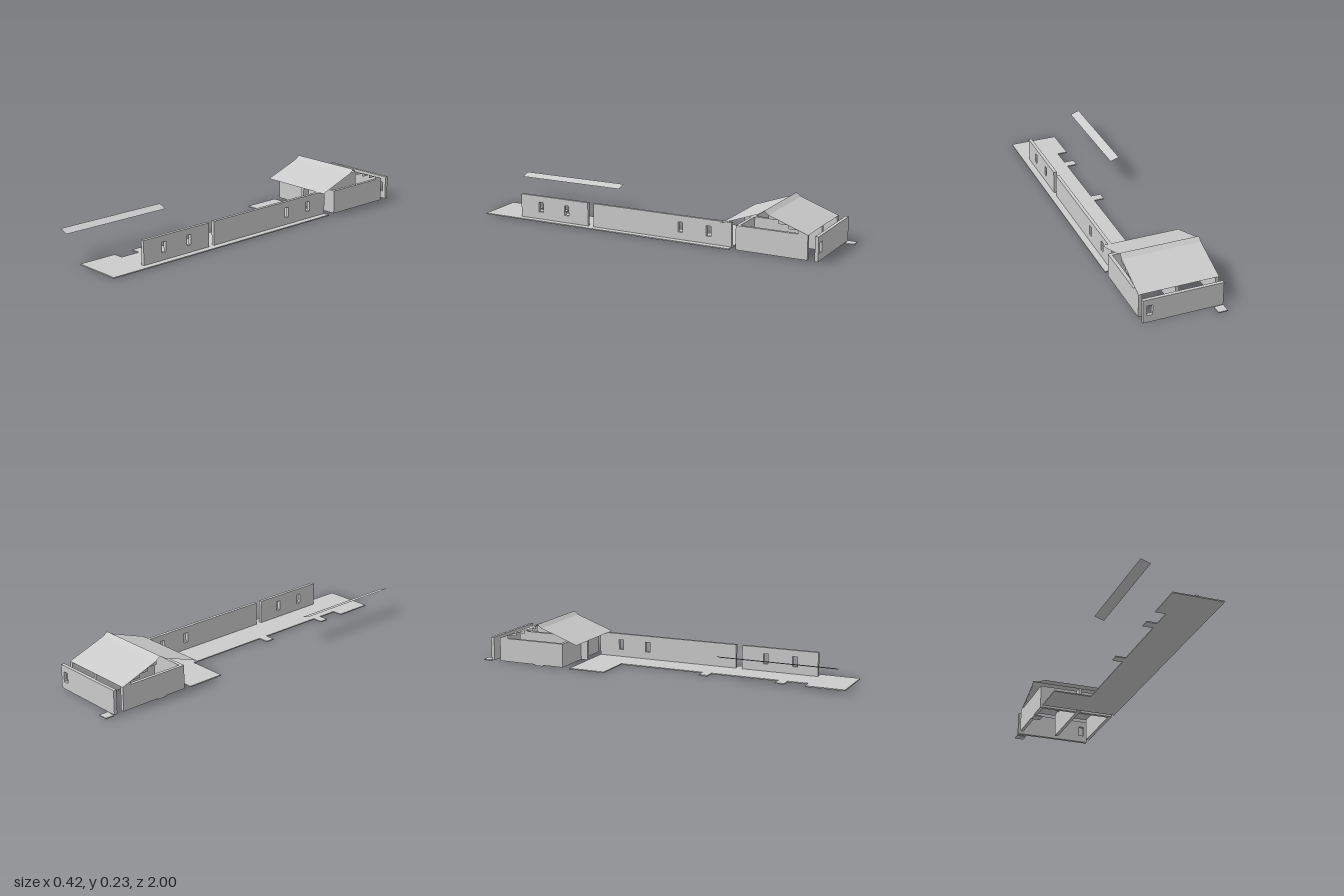
import * as THREE from 'three';

const WALL_BOTTOM = 0.006, WALL_TOP = 0.133, THICK = 0.018;

export function createModel() {
  const model = new THREE.Group();
  const material = new THREE.MeshStandardMaterial({ color: 0xcccccc, side: THREE.DoubleSide, flatShading: true });

  const add = (name, geometry, parent = model) => {
    const mesh = new THREE.Mesh(geometry, material);
    mesh.name = name;
    parent.add(mesh);
    return mesh;
  };

  const polygon = (points) => new THREE.Shape(points.map(([x, y]) => new THREE.Vector2(x, y)));
  const extrude = (shape, depth) => new THREE.ExtrudeGeometry(shape, { depth, bevelEnabled: false });

  // Wall outline from a to b, with window openings given as [start, end]
  const wallShape = (a, b, windows) => {
    const shape = polygon([[a, WALL_BOTTOM], [b, WALL_BOTTOM], [b, WALL_TOP], [a, WALL_TOP]]);
    for (const [w0, w1] of windows) {
      shape.holes.push(polygon([[w0, 0.045], [w0, 0.099], [w1, 0.099], [w1, 0.045]]));
    }
    return shape;
  };

  // Wall along x, with its front at z + THICK
  const wallX = (name, x0, x1, z, windows = []) => {
    add(name, extrude(wallShape(x0, x1, windows), THICK)).position.z = z;
  };

  // Wall along z, with its right side at x
  const wallZ = (name, z0, z1, x, windows = []) => {
    const flipped = windows.map(([a, b]) => [-b, -a]);
    const geometry = extrude(wallShape(-z1, -z0, flipped), THICK);
    geometry.rotateY(Math.PI / 2);
    add(name, geometry).position.x = x;
  };

  // Profile of [z, y] points swept along x as a thin sheet
  const sheet = (name, profile, x0, x1, parent) => {
    const positions = [], index = [];
    profile.forEach(([z, y], i) => {
      positions.push(x0, y, z, x1, y, z);
      if (i) {
        const k = 2 * i;
        index.push(k - 2, k - 1, k, k - 1, k + 1, k);
      }
    });
    const geometry = new THREE.BufferGeometry();
    geometry.setAttribute('position', new THREE.Float32BufferAttribute(positions, 3));
    geometry.setIndex(index);
    geometry.computeVertexNormals();
    add(name, geometry, parent);
  };

  // Floor slab with its side wing and edge tabs, drawn as [x, z]
  const floor = extrude(polygon([
    [0.21, 1], [0.21, -0.47], [-0.21, -0.47], [-0.21, -0.265], [0, -0.265],
    [0, 0.21], [-0.055, 0.21], [-0.055, 0.26], [0, 0.26],
    [0, 0.63], [-0.055, 0.63], [-0.055, 0.68], [0, 0.68],
    [0, 0.79], [-0.055, 0.79], [-0.055, 1],
  ]), WALL_BOTTOM);
  floor.rotateX(Math.PI / 2);
  add('floorSlab', floor).position.y = WALL_BOTTOM;

  // Loose doorstep slabs
  for (const z of [-0.655, -0.975]) {
    add('doorstep', new THREE.BoxGeometry(0.05, WALL_BOTTOM, 0.05)).position.set(-0.185, WALL_BOTTOM / 2, z);
  }

  // Long side walls with windows
  wallZ('longWall', -0.47, 0.335, 0.157, [[-0.195, -0.168], [-0.355, -0.328]]);
  wallZ('frontWall', 0.37, 0.79, 0.157, [[0.65, 0.677], [0.489, 0.516]]);

  // Rear house, open towards its detached back wall
  wallX('crossWall', -0.21, 0.21, -0.527);
  wallZ('houseLeftWall', -0.893, -0.527, 0.192);
  wallZ('houseRightWall', -0.893, -0.527, -0.21);
  wallZ('partition', -0.893, -0.527, 0);
  wallZ('partitionEnd', -0.509, -0.47, 0);
  wallX('backWall', -0.21, 0.21, -0.949, [[0.16, 0.19]]);

  // Gable roof with raised ridge cap
  const roof = new THREE.Group();
  roof.name = 'roof';
  model.add(roof);
  sheet('frontSlope', [[-0.425, 0.133], [-0.635, 0.208]], -0.21, 0.21, roof);
  sheet('ridgeCap', [[-0.635, 0.208], [-0.66, 0.227], [-0.685, 0.208]], -0.21, 0.21, roof);
  sheet('backSlope', [[-0.685, 0.208], [-0.895, 0.133]], -0.21, 0.21, roof);

  // Stepped infill plates beneath the back slope
  const run = 0.21 / 4, rise = 0.075 / 4;
  for (let i = 0; i < 4; i++) {
    const u = 0.685 + i * run, y = 0.208 - i * rise;
    const step = new THREE.ShapeGeometry(polygon([[u, y], [u, y - rise], [u + run, y - rise]]));
    step.rotateY(Math.PI / 2);
    for (const x of [-0.21, 0, 0.21]) add('roofStep', step, roof).position.x = x;
  }

  // Tilted canopy strip on the right, built along x and turned to run along z
  const canopy = new THREE.Group();
  canopy.name = 'canopy';
  canopy.rotation.y = -Math.PI / 2;
  sheet('canopyStrip', [[0.21, 0.15], [0.16, 0.133]], 0.37, 1, canopy);
  model.add(canopy);

  return model;
}
